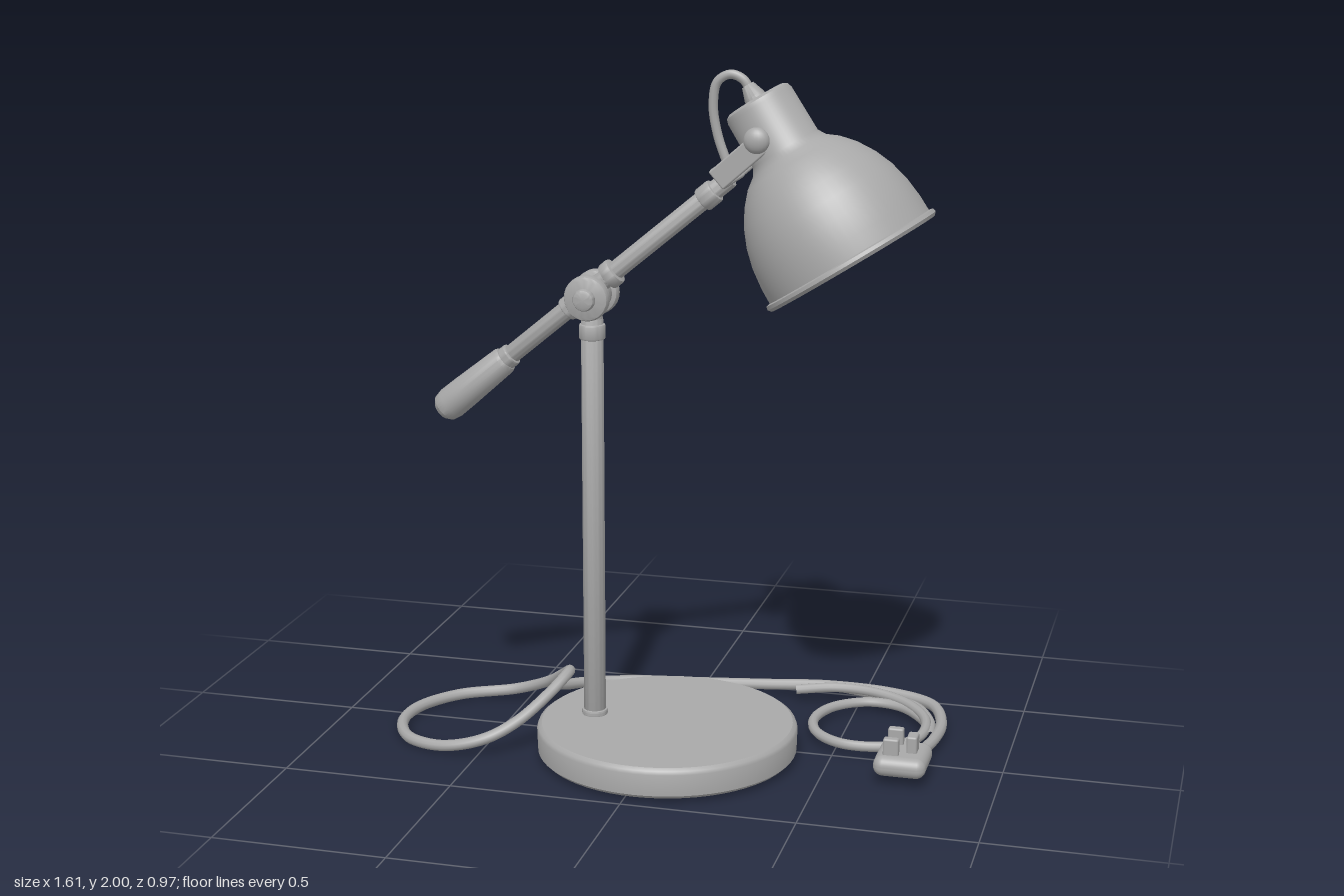
import * as THREE from 'three';
import { toCreasedNormals } from 'three/addons/utils/BufferGeometryUtils.js';
import { RoundedBoxGeometry } from 'three/addons/geometries/RoundedBoxGeometry.js';

const V = (x, y, z) => new THREE.Vector3(x, y, z);
const UP = V(0, 1, 0);
const MID = 0.1; // z of the pole and arm

export function createModel() {
  const model = new THREE.Group();
  const grey = new THREE.MeshStandardMaterial({ color: 0xa8a8a8 });
  grey.name = 'grey';

  const add = (name, geometry, parent = model) => {
    const mesh = new THREE.Mesh(geometry, grey);
    mesh.name = name;
    parent.add(mesh);
    return mesh;
  };
  // Turned part; profile pairs are [radius, height]
  const turned = (profile, sides = 40) => toCreasedNormals(
    new THREE.LatheGeometry(profile.map(([r, y]) => new THREE.Vector2(r, y)), sides), 0.6);
  // Rod with softened ends, centred on its own origin
  const rod = (r, length, bevel = 0.006) => {
    const h = length / 2, c = bevel * 0.3;
    return turned([[0, -h], [r - bevel, -h], [r - c, -h + c], [r, -h + bevel],
      [r, h - bevel], [r - c, h - c], [r - bevel, h], [0, h]], 28);
  };
  const cord = (name, points, radius = 0.017, closed = false) => add(name,
    new THREE.TubeGeometry(new THREE.CatmullRomCurve3(points.map((p) => V(...p)), closed),
      points.length * 9, radius, 10, closed));

  // Base, hollow underneath
  add('base', turned([[0, 0.055], [0.345, 0.055], [0.345, 0.012], [0.368, 0.012], [0.378, 0.022],
    [0.38, 0.085], [0.376, 0.095], [0.366, 0.102], [0, 0.102]], 64)).position.set(0.03, 0, MID);

  // Pole with its top collar
  add('pole', rod(0.032, 1.2)).position.set(-0.19, 0.69, MID);
  add('poleFoot', rod(0.038, 0.02)).position.set(-0.19, 0.108, MID);
  add('poleCollar', rod(0.038, 0.045)).position.set(-0.19, 1.25, MID);
  add('poleNeck', rod(0.03, 0.06)).position.set(-0.19, 1.29, MID);

  // Clamp joint on top of the pole
  const joint = new THREE.Group();
  joint.name = 'clampJoint';
  joint.position.set(-0.19, 1.355, MID);
  joint.rotation.x = Math.PI / 2;
  model.add(joint);
  add('jointCore', rod(0.05, 0.12), joint);
  for (const side of [-1, 1]) {
    add('jointDisc', rod(0.065, 0.04, 0.012), joint).position.y = side * 0.05;
    add('jointNut', rod(0.032, 0.03, 0.012), joint).position.y = side * 0.08;
  }

  // Tilted arm: local y runs up the arm, origin at the joint
  const arm = new THREE.Group();
  arm.name = 'arm';
  arm.position.set(-0.19, 1.37, MID);
  arm.quaternion.setFromUnitVectors(UP, V(0.84, 0.7, 0).normalize());
  model.add(arm);
  add('armRod', rod(0.027, 0.88), arm).position.y = 0.08;
  for (const [y, r, length] of [[-0.085, 0.035, 0.03], [0.075, 0.04, 0.035], [0.44, 0.035, 0.05],
    [-0.325, 0.034, 0.03]]) {
    add('armCollar', rod(r, length), arm).position.y = y;
  }
  add('handle', turned([[0, -0.6], [0.028, -0.595], [0.043, -0.58], [0.048, -0.555], [0.047, -0.5],
    [0.041, -0.345], [0.036, -0.335], [0, -0.335]], 28), arm);

  // Yoke holding the shade
  const yoke = new THREE.Group();
  yoke.name = 'yoke';
  yoke.position.set(0.2, 1.715, MID);
  yoke.rotation.z = 0.72;
  model.add(yoke);
  add('yokePlate', new RoundedBoxGeometry(0.018, 0.065, 0.2, 2, 0.005), yoke);
  for (const side of [-1, 1]) {
    add('yokeArm', new RoundedBoxGeometry(0.17, 0.062, 0.014, 2, 0.005), yoke)
      .position.set(0.075, 0, side * 0.102);
    const bolt = add('pivotBolt', rod(0.02, 0.05));
    bolt.position.set(0.31, 1.825, MID + side * 0.105);
    bolt.rotation.x = Math.PI / 2;
    const knob = add('pivotKnob', new THREE.SphereGeometry(0.036, 20, 14));
    knob.scale.z = 0.65;
    knob.position.set(0.31, 1.825, MID + side * 0.128);
  }

  // Shade: local y points back along the axis, origin at the cap's flat end
  const shade = new THREE.Group();
  shade.name = 'shade';
  shade.position.set(0.28, 1.92, 0.105);
  shade.quaternion.setFromUnitVectors(UP, V(-0.275, 0.43, -0.02).normalize());
  model.add(shade);
  const outer = [[0.25, -0.495], [0.249, -0.45], [0.242, -0.39], [0.228, -0.335], [0.207, -0.285],
    [0.178, -0.238], [0.145, -0.2], [0.115, -0.177], [0.102, -0.155]];
  const inner = outer.map(([r, y]) => [r - 0.014, y - 0.008]).reverse();
  add('shadeShell', turned([[0, -0.163], ...inner, [0.24, -0.515], [0.256, -0.517], [0.264, -0.508],
    [0.262, -0.498], ...outer, [0.1, -0.02], [0.096, -0.007], [0.086, 0], [0, 0]], 56), shade);

  // Bulb and socket inside the shade
  add('socket', rod(0.06, 0.14), shade).position.y = -0.22;
  add('bulb', turned([[0, -0.455], [0.05, -0.45], [0.09, -0.436], [0.114, -0.415], [0.122, -0.39],
    [0.112, -0.36], [0.085, -0.32], [0.055, -0.27], [0, -0.26]]), shade);

  // Cable leaving the cap and looping to the arm
  add('cableGrommet', turned([[0, -0.01], [0.032, -0.01], [0.03, 0.01], [0.018, 0.045], [0, 0.047]], 20),
    shade);
  cord('shadeCable', [[0.27, 1.93, 0.105], [0.245, 1.972, 0.105], [0.208, 1.986, 0.105],
    [0.172, 1.965, 0.105], [0.16, 1.9, 0.103], [0.172, 1.82, 0.1], [0.2, 1.74, 0.1]], 0.013);

  // Mains cord lying on the ground: side loop, long run and small coil
  cord('cordLoop', [[-0.295, 0.19, 0.02], [-0.35, 0.135, -0.1], [-0.42, 0.08, -0.172],
    [-0.54, 0.03, -0.21], [-0.7, 0.018, -0.15], [-0.785, 0.018, -0.02], [-0.79, 0.018, 0.11],
    [-0.72, 0.018, 0.23], [-0.6, 0.022, 0.27], [-0.48, 0.05, 0.255], [-0.4, 0.09, 0.2],
    [-0.33, 0.15, 0.11]], 0.017, true);
  cord('cordRun', [[-0.415, 0.08, -0.17], [-0.39, 0.055, -0.22], [-0.34, 0.035, -0.31],
    [-0.2, 0.025, -0.39], [0, 0.025, -0.425], [0.2, 0.03, -0.45], [0.4, 0.035, -0.475],
    [0.6, 0.035, -0.46], [0.73, 0.033, -0.4], [0.78, 0.03, -0.27], [0.78, 0.03, -0.13],
    [0.755, 0.035, 0], [0.745, 0.05, 0.06]]);
  cord('cordCoil', [[0.31, 0.045, -0.39], [0.43, 0.05, -0.425], [0.55, 0.05, -0.415],
    [0.66, 0.045, -0.36], [0.735, 0.04, -0.25], [0.735, 0.035, -0.12], [0.66, 0.03, -0.04],
    [0.53, 0.03, -0.025], [0.44, 0.03, -0.09], [0.407, 0.03, -0.2], [0.445, 0.03, -0.315],
    [0.54, 0.03, -0.38], [0.64, 0.03, -0.365], [0.72, 0.03, -0.28], [0.755, 0.03, -0.2]], 0.015);
  cord('cordBranch', [[0.4, 0.035, -0.475], [0.55, 0.03, -0.445], [0.68, 0.03, -0.385],
    [0.745, 0.03, -0.27], [0.765, 0.03, -0.15]], 0.014);

  // Three-pin plug lying with its pins up
  add('plugBody', new RoundedBoxGeometry(0.15, 0.06, 0.17, 4, 0.028)).position.set(0.727, 0.057, 0.112);
  for (const [x, z, w, d] of [[0.7, 0.07, 0.045, 0.025], [0.7, 0.155, 0.045, 0.025],
    [0.755, 0.112, 0.03, 0.05]]) {
    add('plugPin', new RoundedBoxGeometry(w, 0.07, d, 2, 0.006)).position.set(x, 0.1, z);
  }
  return model;
}
